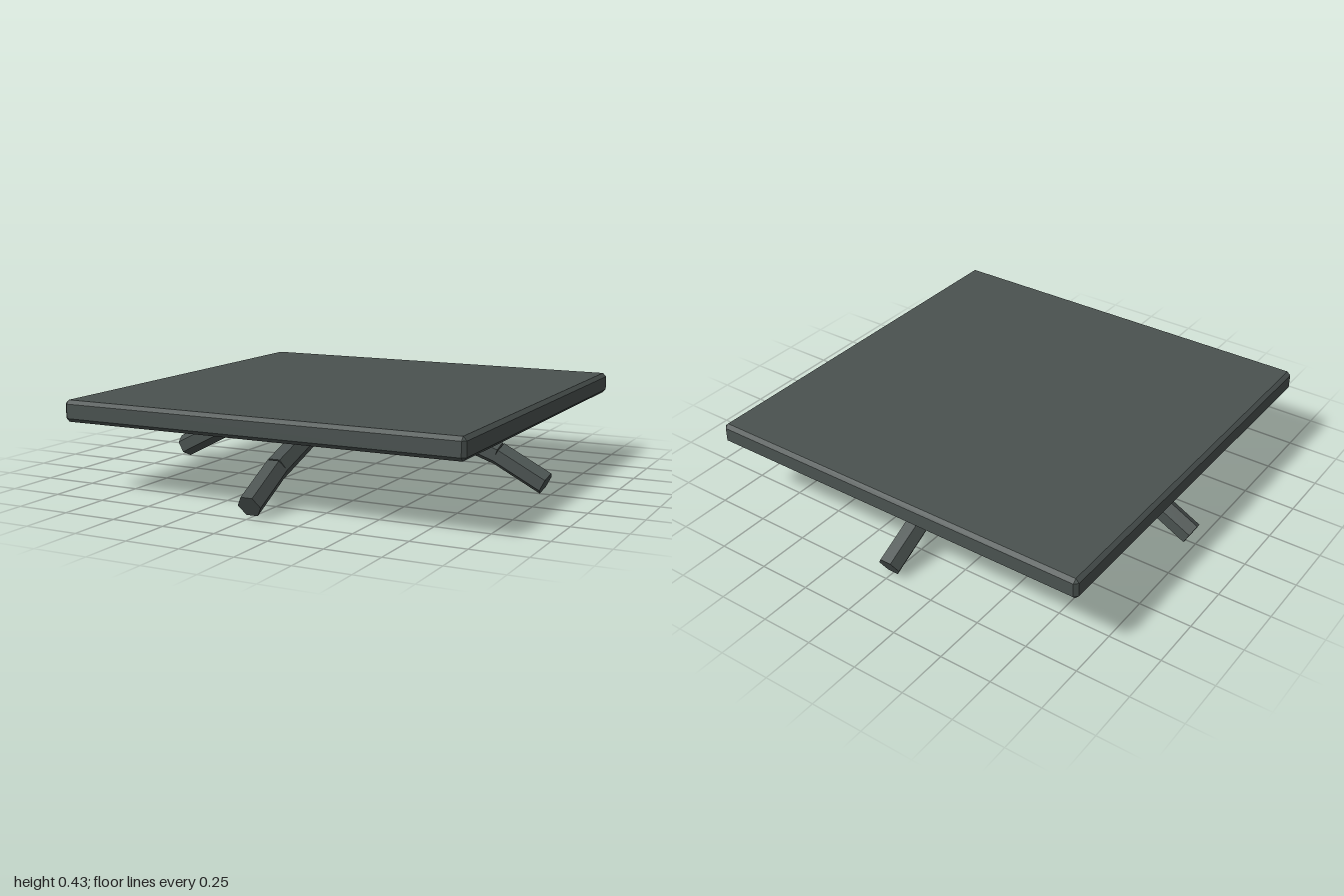
import * as THREE from 'three';
import { ConvexGeometry } from 'three/addons/geometries/ConvexGeometry.js';

const slate = new THREE.MeshStandardMaterial({ color: 0x4a5250, flatShading: true });
slate.name = 'slate grey';
const brass = new THREE.MeshStandardMaterial({ color: 0xb5894e, flatShading: true });
brass.name = 'brass';

// Box with every edge chamfered by b
function chamferedBox(w, h, d, b) {
  const pts = [];
  for (const sx of [-1, 1]) for (const sy of [-1, 1]) for (const sz of [-1, 1]) {
    const x = w / 2, y = h / 2, z = d / 2;
    pts.push(new THREE.Vector3(sx * x, sy * (y - b), sz * (z - b)));
    pts.push(new THREE.Vector3(sx * (x - b), sy * y, sz * (z - b)));
    pts.push(new THREE.Vector3(sx * (x - b), sy * (y - b), sz * z));
  }
  return new ConvexGeometry(pts);
}

// Leg along +x made of straight hexagonal bars; roll turns the hexagon
function makeLeg(roll) {
  const path = [[0, 0.318], [0.422, 0.282], [0.748, 0.17], [0.975, 0.052]];
  const leg = new THREE.Group();
  for (let i = 0; i < path.length - 1; i++) {
    const [x0, y0] = path[i], [x1, y1] = path[i + 1];
    const geo = new THREE.CylinderGeometry(0.056, 0.056, Math.hypot(x1 - x0, y1 - y0), 6);
    geo.rotateY(roll);
    const bar = new THREE.Mesh(geo, slate);
    bar.name = 'legBar' + (i + 1);
    bar.position.set((x0 + x1) / 2, (y0 + y1) / 2, 0);
    bar.rotation.z = Math.atan2(y1 - y0, x1 - x0) - Math.PI / 2;
    leg.add(bar);
  }
  return leg;
}

export function createModel() {
  const model = new THREE.Group();
  model.name = 'lowTable';

  // Square slab
  const top = new THREE.Mesh(chamferedBox(1.94, 0.1, 1.94, 0.017), slate);
  top.name = 'tableTop';
  top.position.y = 0.384;
  model.add(top);

  // Four arched legs meeting in the middle
  ['leftLeg', 'backLeg', 'rightLeg', 'frontLeg'].forEach((name, i) => {
    const leg = makeLeg(i % 2 ? 0 : Math.PI / 6);
    leg.name = name;
    leg.rotation.y = i * Math.PI / 2;
    model.add(leg);
  });

  // Flattened brass knob under the crossing
  const knob = new THREE.Mesh(new THREE.SphereGeometry(0.107, 12, 8), brass);
  knob.name = 'centreKnob';
  knob.scale.y = 0.6;
  knob.position.y = 0.242;
  model.add(knob);

  return model;
}
